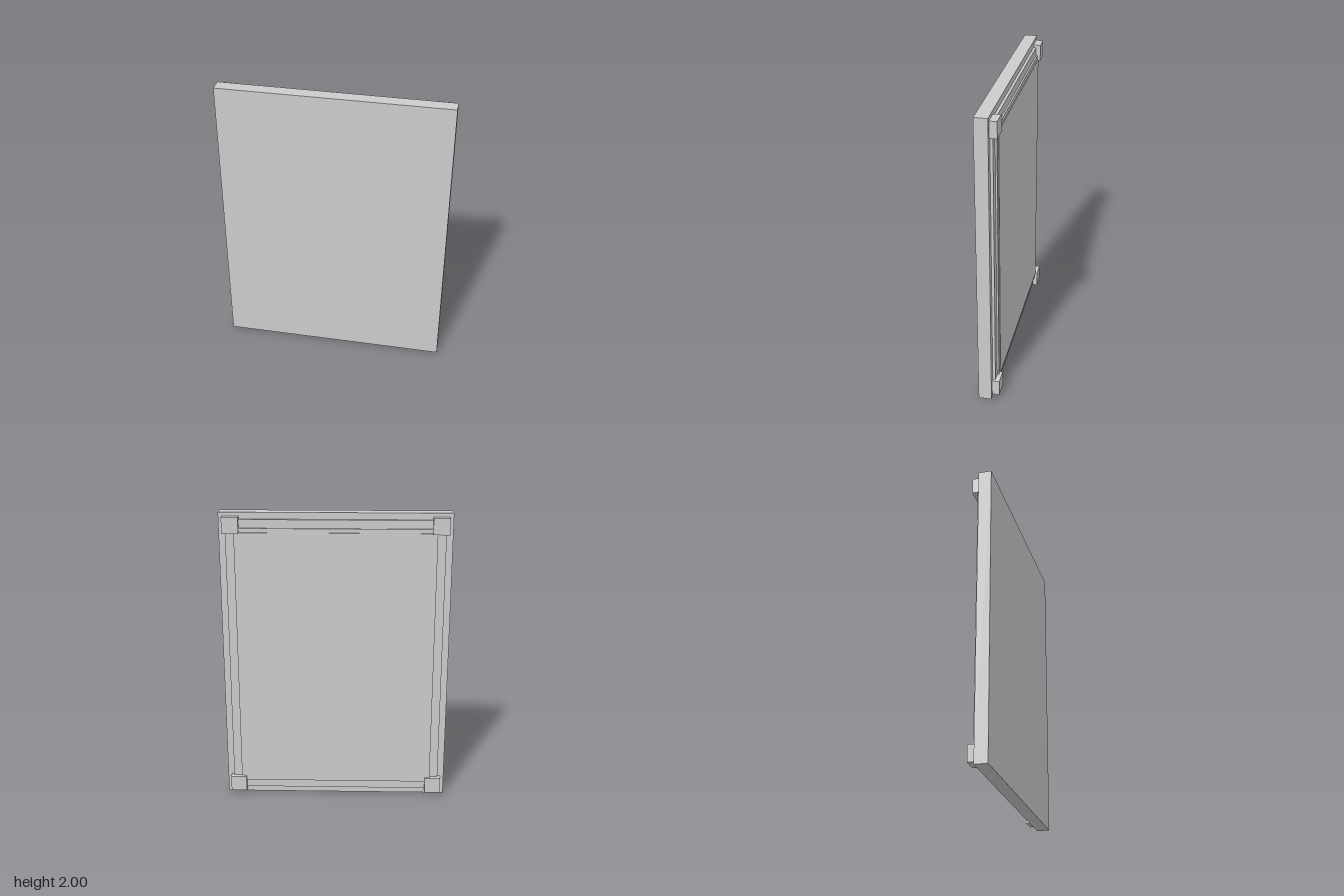
import * as THREE from 'three';

const W = 1.52, H = 2, BACK = -0.019;

export function createModel() {
  const group = new THREE.Group();
  const material = new THREE.MeshStandardMaterial({ color: 0xcccccc, flatShading: true });

  // Box centred on x, spanning zBack..zFront
  function slab(name, w, h, x, y, zBack, zFront) {
    const mesh = new THREE.Mesh(new THREE.BoxGeometry(w, h, zFront - zBack), material);
    mesh.name = name;
    mesh.position.set(x, y, (zBack + zFront) / 2);
    group.add(mesh);
  }

  // Main flat panel
  slab('panel', W, H, 0, H / 2, BACK, 0.067);

  // Stepped layers on the back: [inset from panel edge, rear z]
  const layers = [[0.044, -0.037], [0.1, -0.048], [0.127, -0.053]];
  let zFront = BACK;
  layers.forEach(([inset, z], i) => {
    slab(`backLayer${i + 1}`, W - 2 * inset, H - 2 * inset, 0, H / 2, z, zFront);
    zFront = z;
  });

  // Square corner blocks
  const size = 0.108, centre = 0.079;
  for (const sx of [-1, 1]) {
    for (const sy of [-1, 1]) {
      slab('cornerBlock', size, size, sx * (W / 2 - centre), H / 2 + sy * (H / 2 - centre), -0.067, BACK);
    }
  }
  return group;
}
